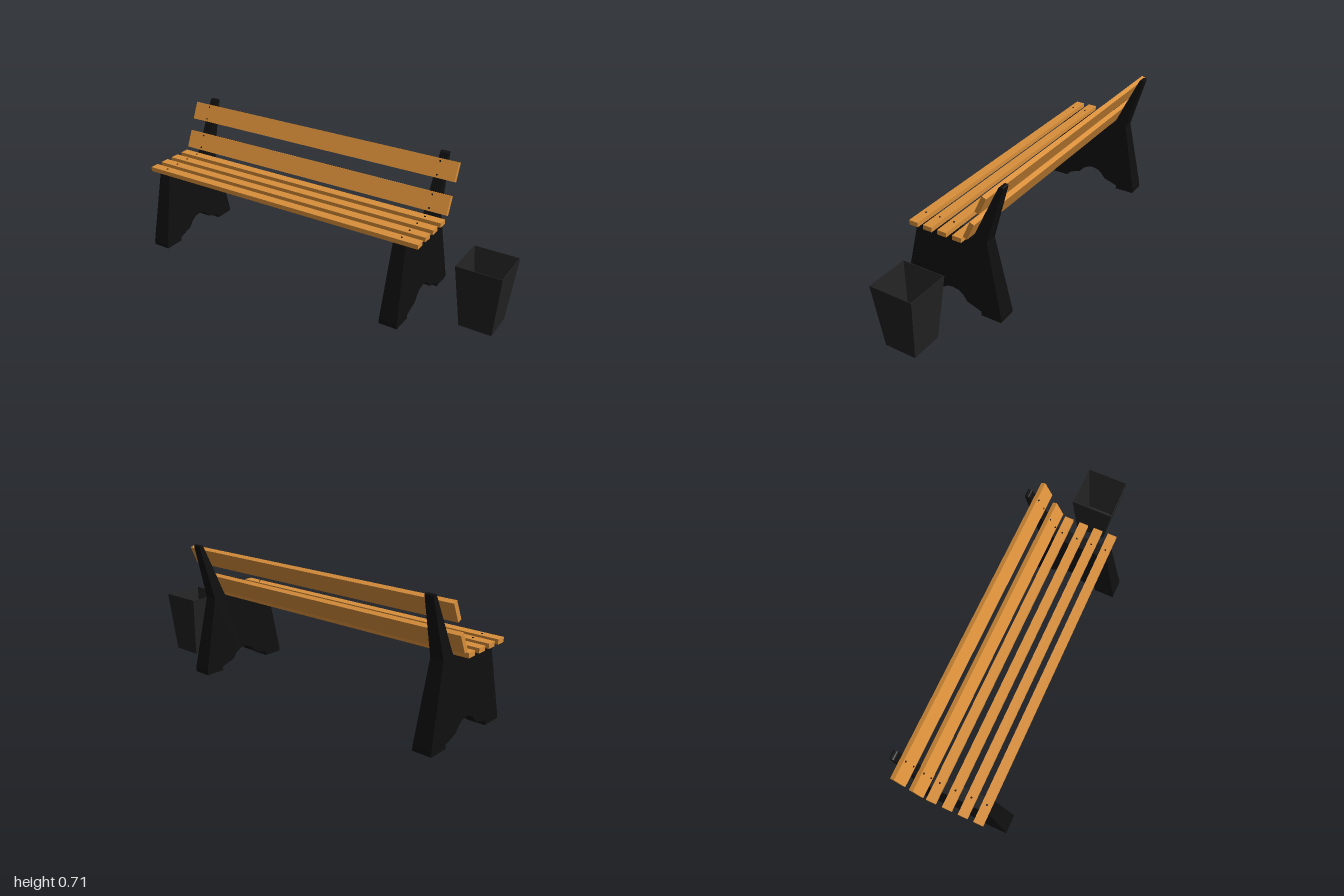
import * as THREE from 'three';

const wood = new THREE.MeshStandardMaterial({ color: 0xd98f3a });
const iron = new THREE.MeshStandardMaterial({ color: 0x0f0f0f, flatShading: true });
const binMat = new THREE.MeshStandardMaterial({ color: 0x222222, flatShading: true });

const LEG_X = [-0.905, 0.525];
const SLAT_X = -0.19, SLAT_LENGTH = 1.62, THICK = 0.024;
const BACK_TILT = 0.43;

function add(parent, name, geometry, material, x = 0, y = 0, z = 0) {
  const mesh = new THREE.Mesh(geometry, material);
  mesh.name = name;
  mesh.position.set(x, y, z);
  parent.add(mesh);
  return mesh;
}

// Side frame: profile in (z, y), extruded along x and narrowed towards the top
function frameGeometry() {
  const profile = [
    [0.277, 0.005], [0.277, 0.03], [0.195, 0.412], [-0.115, 0.412],
    [-0.249, 0.703], [-0.253, 0.709], [-0.259, 0.712], [-0.27, 0.712], [-0.275, 0.707],
    [-0.192, 0.412], [-0.274, 0.03], [-0.274, 0.005], [-0.165, 0.005], [-0.165, 0.025],
    [-0.085, 0.05], [-0.06, 0.08], [-0.03, 0.098], [0, 0.103],
    [0.03, 0.098], [0.06, 0.08], [0.085, 0.05], [0.167, 0.025], [0.167, 0.005],
  ];
  const shape = new THREE.Shape(profile.map(([z, y]) => new THREE.Vector2(z, y)));
  const geo = new THREE.ExtrudeGeometry(shape, { depth: 1, bevelEnabled: false });
  geo.translate(0, 0, -0.5).rotateY(-Math.PI / 2);
  const p = geo.attributes.position;
  for (let i = 0; i < p.count; i++) p.setX(i, p.getX(i) * (0.098 - 0.078 * p.getY(i)));
  geo.computeVertexNormals();
  return geo;
}

// A slat lying flat, with bolt heads on its upper face above each frame
function makeSlat(name, width, boltOffsets) {
  const slat = new THREE.Group();
  slat.name = name;
  add(slat, 'plank', new THREE.BoxGeometry(SLAT_LENGTH, THICK, width), wood, SLAT_X);
  const bolt = new THREE.CylinderGeometry(0.004, 0.005, 0.003, 8);
  for (const x of LEG_X)
    for (const z of boltOffsets) add(slat, 'bolt', bolt, iron, x, THICK / 2 + 0.001, z);
  return slat;
}

export function createModel() {
  const model = new THREE.Group();
  model.name = 'benchWithBin';

  const bench = new THREE.Group();
  bench.name = 'bench';
  model.add(bench);

  const frame = frameGeometry();
  for (const x of LEG_X) add(bench, 'sideFrame', frame, iron, x);

  // Seat
  for (const z of [0.172, 0.092, 0.011, -0.072]) {
    const slat = makeSlat('seatSlat', 0.049, [0]);
    slat.position.set(0, 0.425, z);
    bench.add(slat);
  }

  // Backrest, leaning along the frame's upright
  for (const [y, z] of [[0.491, -0.139], [0.642, -0.206]]) {
    const slat = makeSlat('backSlat', 0.097, [-0.034, 0.034]);
    slat.position.set(0, y, z);
    slat.rotation.x = Math.PI / 2 - BACK_TILT;
    bench.add(slat);
  }

  // Square tapered bin, open at the top
  const binProfile = [
    [0, 0], [0.083, 0], [0.114, 0.333], [0.11, 0.333], [0.067, 0.02], [0, 0.02],
  ].map(([half, y]) => new THREE.Vector2(half * Math.SQRT2, y));
  add(model, 'bin', new THREE.LatheGeometry(binProfile, 4, Math.PI / 4), binMat, 0.886);

  return model;
}
